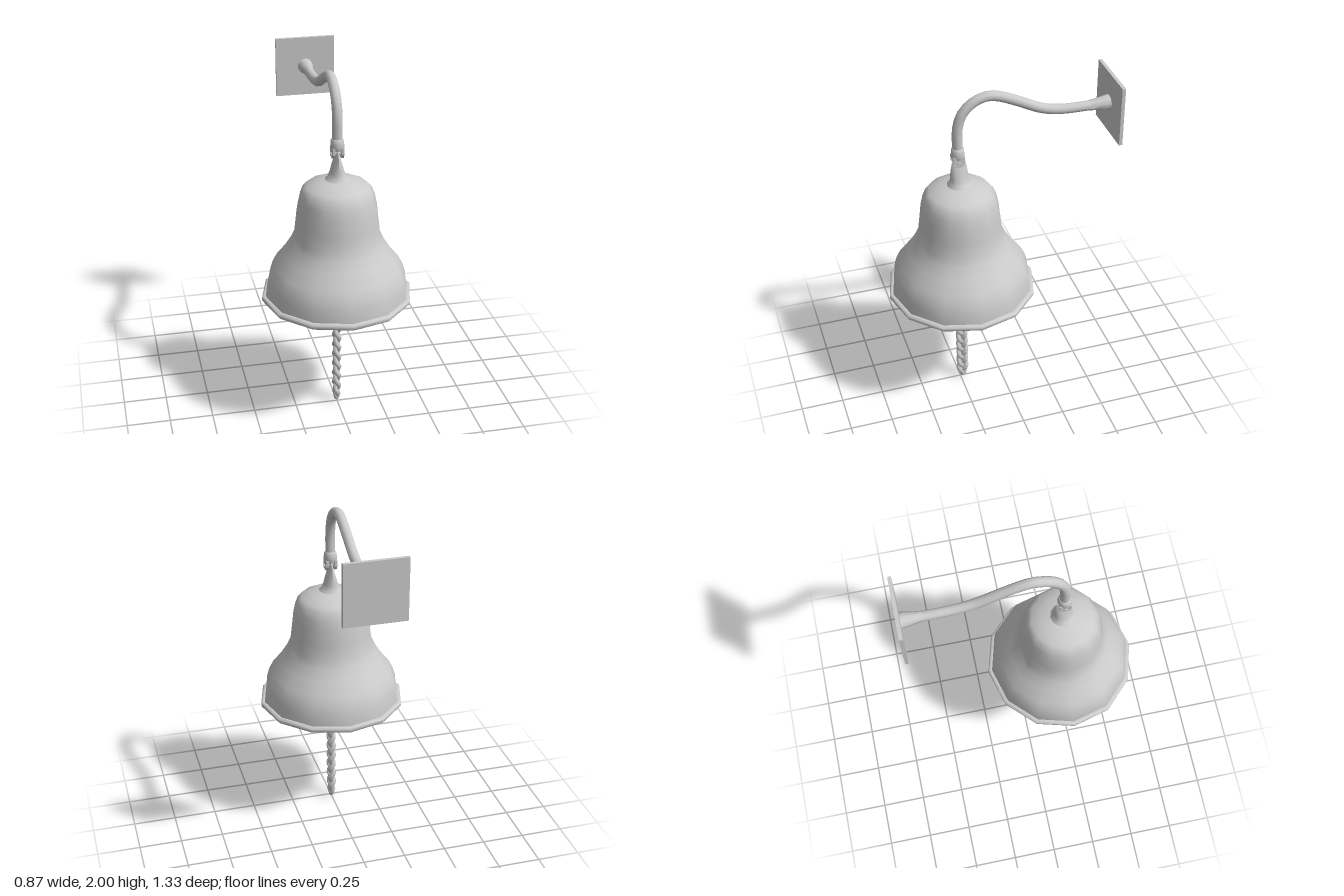
import * as THREE from 'three';
import { toCreasedNormals } from 'three/addons/utils/BufferGeometryUtils.js';

const material = new THREE.MeshStandardMaterial({ color: 0xcccccc });
const AXIS_Z = 0.23; // the bell hangs on this vertical axis

const v2 = (pairs) => pairs.map(([x, y]) => new THREE.Vector2(x, y));

function add(parent, name, geometry, x = 0, y = 0, z = 0) {
  const mesh = new THREE.Mesh(geometry, material);
  mesh.name = name;
  mesh.position.set(x, y, z);
  parent.add(mesh);
  return mesh;
}

const lathe = (pairs, sides, crease = 0.9) =>
  toCreasedNormals(new THREE.LatheGeometry(v2(pairs), sides), crease);

// Wall plate, flared foot and the curved arm
function createBracket() {
  const bracket = new THREE.Group();
  bracket.name = 'bracket';
  add(bracket, 'wallPlate', new THREE.BoxGeometry(0.355, 0.355, 0.02), 0, 1.808, -0.655);

  const path = new THREE.CatmullRomCurve3([
    [-0.645, 1.81], [-0.5, 1.81], [-0.35, 1.818], [-0.25, 1.842], [-0.1, 1.916], [0, 1.96],
    [0.06, 1.971], [0.14, 1.947], [0.205, 1.885], [0.233, 1.8], [0.235, 1.64],
  ].map(([z, y]) => new THREE.Vector3(0, y, z)));
  add(bracket, 'arm', new THREE.TubeGeometry(path, 28, 0.029, 10));

  const flare = lathe([[0.046, 0], [0.042, 0.03], [0.034, 0.07], [0.029, 0.12]], 10);
  add(bracket, 'armFlare', flare.rotateX(Math.PI / 2), 0, 1.81, -0.646);
  return bracket;
}

// Sleeve with two cheeks and a pin that holds the bell's tongue
function createClevis() {
  const clevis = new THREE.Group();
  clevis.name = 'clevis';
  clevis.position.z = 0.235;
  add(clevis, 'sleeve', lathe([
    [0, 1.612], [0.034, 1.612], [0.039, 1.63], [0.036, 1.67], [0.03, 1.678], [0, 1.678],
  ], 10));

  const outline = new THREE.Shape(v2([
    [-0.034, 1.63], [-0.033, 1.59], [-0.022, 1.57], [0, 1.564],
    [0.022, 1.57], [0.033, 1.59], [0.034, 1.63],
  ]));
  for (const side of [-1, 1]) {
    const cheek = new THREE.ExtrudeGeometry(outline, { depth: 0.015, bevelEnabled: false });
    cheek.translate(0, 0, -0.0075).rotateY(Math.PI / 2);
    add(clevis, 'cheek', cheek, side * 0.025).rotation.z = 0;
  }
  add(clevis, 'pin', new THREE.CylinderGeometry(0.011, 0.011, 0.078, 8).rotateZ(Math.PI / 2), 0, 1.59);
  return clevis;
}

// Hollow bell, hanging tongue and clapper
function createBell() {
  const bell = new THREE.Group();
  bell.name = 'bell';
  bell.position.z = AXIS_Z;

  // Profile runs down the inside, round the rim and up the outside
  const shell = lathe([
    [0, 1.4], [0.07, 1.39], [0.15, 1.36], [0.19, 1.3], [0.21, 1.2], [0.225, 1.1],
    [0.28, 0.98], [0.34, 0.9], [0.37, 0.83], [0.385, 0.75], [0.392, 0.714],
    [0.428, 0.714], [0.435, 0.722], [0.435, 0.74], [0.428, 0.747], [0.413, 0.747],
    [0.405, 0.82], [0.39, 0.87], [0.365, 0.92], [0.31, 0.99], [0.272, 1.05], [0.25, 1.1],
    [0.24, 1.18], [0.23, 1.27], [0.217, 1.33], [0.2, 1.375], [0.177, 1.4],
    [0.12, 1.422], [0.065, 1.44], [0, 1.446],
  ], 12);
  add(bell, 'bellShell', shell);

  // The tongue narrows across x towards its top
  const tongue = new THREE.LatheGeometry(v2([
    [0.075, 1.434], [0.058, 1.45], [0.052, 1.48], [0.051, 1.51], [0.046, 1.55],
    [0.04, 1.58], [0.03, 1.602], [0, 1.61],
  ]), 12);
  const p = tongue.attributes.position;
  for (let i = 0; i < p.count; i++) {
    const t = THREE.MathUtils.clamp((p.getY(i) - 1.44) / 0.16, 0, 1);
    p.setX(i, p.getX(i) * (1 - 0.8 * t));
  }
  add(bell, 'tongue', toCreasedNormals(tongue, 0.9));

  add(bell, 'clapper', lathe([
    [0, 0.68], [0.035, 0.684], [0.058, 0.708], [0.07, 0.745], [0.066, 0.785],
    [0.046, 0.835], [0.027, 0.89], [0.018, 0.95], [0.014, 1.05], [0.014, 1.395],
  ], 12));
  return bell;
}

// Two linked rings and a three-strand plaited cord
function createPull() {
  const pull = new THREE.Group();
  pull.name = 'pull';
  pull.position.z = 0.235;
  add(pull, 'upperRing', new THREE.TorusGeometry(0.034, 0.012, 8, 16).rotateY(Math.PI / 2), 0, 0.652);
  add(pull, 'lowerRing', new THREE.TorusGeometry(0.024, 0.008, 8, 16), 0, 0.604);

  const turns = 3;
  for (let strand = 0; strand < 3; strand++) {
    const points = [];
    for (let i = 0; i <= 60; i++) {
      const s = i / 60;
      const a = Math.PI * 2 * (turns * s + strand / 3);
      const spread = Math.min(1, 0.15 + s * 9, 0.4 + (1 - s) * 8);
      points.push(new THREE.Vector3(
        0.01 * spread * Math.sin(2 * a), 0.015 + 0.585 * s, 0.023 * spread * Math.sin(a)));
    }
    const curve = new THREE.CatmullRomCurve3(points);
    add(pull, 'cordStrand', new THREE.TubeGeometry(curve, 72, 0.0155, 6));
  }
  add(pull, 'cordTip', new THREE.SphereGeometry(0.017, 8, 6), 0, 0.017);
  add(pull, 'cordTop', new THREE.SphereGeometry(0.02, 8, 6), 0, 0.6);
  return pull;
}

export function createModel() {
  const model = new THREE.Group();
  model.name = 'wallBell';
  model.add(createBracket(), createClevis(), createBell(), createPull());
  return model;
}
